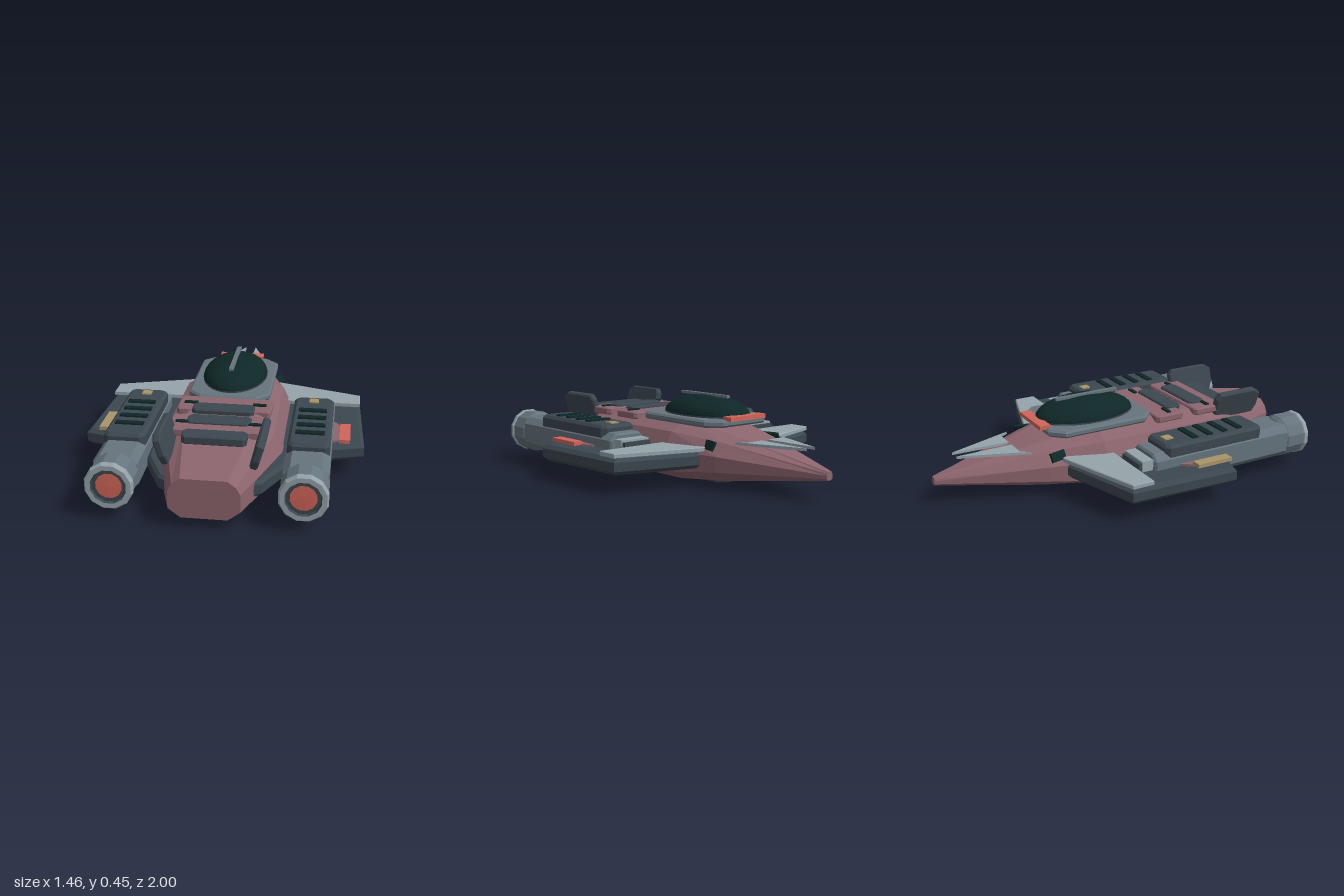
import * as THREE from 'three';

const paint = (name, color, side = THREE.FrontSide) => {
  const m = new THREE.MeshStandardMaterial({ color, flatShading: true, side });
  m.name = name;
  return m;
};

export function createModel() {
  const rose = paint('dusty rose', 0x8c656e);
  const steel = paint('steel grey', 0x66747d);
  const pale = paint('pale grey', 0x95a4ab);
  const slate = paint('dark slate', 0x3c474f);
  const glass = paint('dark green glass', 0x0f2727);
  const red = paint('signal red', 0xd0655a);
  const gold = paint('dull gold', 0xa8946a);

  const ship = new THREE.Group();
  ship.name = 'spacecraft';

  const add = (name, geo, mat, x = 0, y = 0, z = 0, parent = ship) => {
    const mesh = new THREE.Mesh(geo, mat);
    mesh.name = name;
    mesh.position.set(x, y, z);
    parent.add(mesh);
    return mesh;
  };
  const box = (name, mat, w, h, d, x, y, z, parent) =>
    add(name, new THREE.BoxGeometry(w, h, d), mat, x, y, z, parent);

  // Extruded outline with a chamfer of size b
  const extrude = (pts, depth, b) => {
    const shape = new THREE.Shape(pts.map(([x, y]) => new THREE.Vector2(x, y)));
    const geo = new THREE.ExtrudeGeometry(shape, {
      depth: depth - 2 * b, bevelEnabled: b > 0, bevelThickness: b,
      bevelSize: b, bevelOffset: -b, bevelSegments: 1, steps: 1,
    });
    return geo.translate(0, 0, b);
  };
  // Horizontal slab with an outline in x and z
  const slab = (name, mat, pts, y0, y1, b = 0, parent = ship) =>
    add(name, extrude(pts, y1 - y0, b).rotateX(Math.PI / 2), mat, 0, y1, 0, parent);
  // Rectangle outline with cut corners
  const cut = (x0, x1, z0, z1, c) => [
    [x0 + c, z0], [x1 - c, z0], [x1, z0 + c], [x1, z1 - c],
    [x1 - c, z1], [x0 + c, z1], [x0, z1 - c], [x0, z0 + c],
  ];

  // Hull: ten-sided cross-sections
  // z, top y, top x, shoulder x, shoulder y, side x, side upper y, side lower y, bottom x, bottom y
  const sections = [
    [-1, 0.148, 0.012, 0.018, 0.14, 0.021, 0.13, 0.115, 0.012, 0.105],
    [-0.45, 0.265, 0.10, 0.18, 0.235, 0.23, 0.17, 0.09, 0.13, 0.032],
    [-0.15, 0.325, 0.17, 0.27, 0.27, 0.315, 0.18, 0.065, 0.20, 0.012],
    [0.5, 0.32, 0.18, 0.275, 0.27, 0.32, 0.18, 0.065, 0.20, 0.012],
    [1, 0.255, 0.11, 0.15, 0.225, 0.17, 0.19, 0.10, 0.11, 0.055],
  ];
  const rings = sections.map(([z, ty, tx, sx, sy, w, yu, yl, bx, by]) => {
    const half = [[tx, ty], [sx, sy], [w, yu], [w, yl], [bx, by]];
    const other = half.map(([x, y]) => [-x, y]).reverse();
    return [...half, ...other].map(([x, y]) => [x, y, z]);
  });
  const verts = [];
  const n = rings[0].length;
  for (let s = 0; s < rings.length - 1; s++) {
    for (let i = 0; i < n; i++) {
      const j = (i + 1) % n;
      const a = rings[s][i], b = rings[s][j], c = rings[s + 1][j], d = rings[s + 1][i];
      verts.push(...a, ...b, ...d, ...b, ...c, ...d);
    }
  }
  const front = rings[0], back = rings[rings.length - 1];
  for (let i = 1; i < n - 1; i++) {
    verts.push(...front[0], ...front[i + 1], ...front[i]);
    verts.push(...back[0], ...back[i], ...back[i + 1]);
  }
  const hullGeo = new THREE.BufferGeometry();
  hullGeo.setAttribute('position', new THREE.Float32BufferAttribute(verts, 3));
  hullGeo.computeVertexNormals();
  // Make sure faces point outwards
  add('hull', hullGeo, rose).material.side = THREE.DoubleSide;
  slab('bellyPlate', slate, cut(-0.105, 0.105, -0.36, 0.56, 0.04), 0, 0.02, 0.006);

  // Cockpit
  slab('canopyBase', steel, cut(-0.22, 0.22, -0.42, 0.2, 0.07), 0.305, 0.343, 0.01);
  const ring = add('canopySeal', new THREE.CylinderGeometry(1, 1, 0.012, 32), slate, 0, 0.345, -0.13);
  ring.scale.set(0.178, 1, 0.283);
  const dome = new THREE.SphereGeometry(1, 32, 10, 0, Math.PI * 2, 0, Math.PI / 2);
  add('canopy', dome, glass, 0, 0.343, -0.13).scale.set(0.178, 0.1, 0.283);
  box('canopyRidge', steel, 0.024, 0.014, 0.37, 0, 0.444, -0.115);
  box('browBar', red, 0.25, 0.022, 0.06, 0, 0.349, -0.422);

  // Rear deck plates
  for (const [z0, z1] of [[0.19, 0.365], [0.435, 0.625]]) {
    slab('deckPlate', rose, cut(-0.245, 0.245, z0, z1, 0.015), 0.295, 0.333, 0.006);
  }
  for (const [z0, z1, top] of [[0.3, 0.4, 0.345], [0.455, 0.555, 0.345], [0.615, 0.71, 0.335]]) {
    slab('deckHatch', slate, cut(-0.16, 0.16, z0, z1, 0.018), 0.29, top, 0.006);
  }

  for (const s of [1, -1]) {
    const side = s > 0 ? 'left' : 'right';
    const half = new THREE.Group();
    half.name = side + 'Side';
    ship.add(half);
    const m = (pts) => pts.map(([x, z]) => [s * x, z]);

    // Nose vanes and hull slits
    slab('noseVane', pale, m([[0.03, -0.88], [0.16, -0.52], [0.13, -0.57], [0.02, -0.57]]), 0.233, 0.247, 0, half);
    const slit = box('hullSlit', glass, 0.014, 0.05, 0.09, s * 0.225, 0.222, -0.4, half);
    slit.rotation.set(0, -s * 0.25, s * 0.5);
    for (const z of [0.285, 0.535]) box('deckSlot', glass, 0.07, 0.016, 0.022, s * 0.18, 0.333, z, half);

    // Wing, pale leading plate and engine pylon
    slab('wing', slate, m([[0.22, -0.36], [0.26, -0.36], [0.7, -0.23], [0.728, 0.37], [0.56, 0.42], [0.22, 0.43]]), 0.1, 0.186, 0.02, half);
    slab('wingLeadingPlate', pale, m([[0.2, -0.385], [0.26, -0.37], [0.7, -0.23], [0.7, -0.11], [0.2, -0.11]]), 0.186, 0.212, 0.004, half);
    slab('enginePylon', slate, m([[0.2, 0.4], [0.36, 0.4], [0.345, 0.63], [0.25, 0.83], [0.2, 0.86]]), 0.1, 0.18, 0.015, half);
    slab('wingPatch', rose, m([[0.5, 0.12], [0.57, 0.13], [0.605, 0.18], [0.625, 0.33], [0.57, 0.37], [0.5, 0.37]]), 0.183, 0.198, 0, half);
    box('wingMarker', s > 0 ? red : gold, 0.055, 0.02, 0.205, s * 0.627, 0.203, 0.287, half);

    // Tail fin, leaning outwards
    const finPts = [[0.57, 0.24], [0.57, 0.37], [0.59, 0.4], [0.82, 0.4], [0.865, 0.37], [0.865, 0.29], [0.84, 0.24]];
    const finGeo = extrude(finPts.map(([z, y]) => [-z, y - 0.24]), 0.04, 0.008);
    finGeo.translate(0, 0, -0.02).rotateY(Math.PI / 2);
    add('tailFin', finGeo, slate, s * 0.208, 0.245, 0, half).rotation.z = -s * 0.28;

    // Engine pod
    const pod = new THREE.Group();
    pod.name = side + 'Engine';
    pod.position.x = s * 0.455;
    half.add(pod);
    add('engineBody', extrude(cut(-0.11, 0.11, 0.09, 0.268, 0.035), 0.86, 0.01), steel, 0, 0, -0.02, pod);
    slab('engineCover', slate, cut(-0.105, 0.105, 0.05, 0.66, 0.025), 0.225, 0.303, 0.015, pod);
    for (const z of [0.245, 0.338, 0.432, 0.526]) box('coolingSlot', glass, 0.145, 0.012, 0.034, 0, 0.306, z, pod);
    box('serviceHatch', gold, 0.05, 0.012, 0.05, 0, 0.304, 0.115, pod);
    box('intake', pale, 0.175, 0.06, 0.07, 0, 0.212, -0.048, pod);
    box('intakeMouth', slate, 0.165, 0.05, 0.03, 0, 0.206, -0.088, pod);

    // Nozzle: open bell, pale rim, dark liner and glowing disc
    const lathe = (name, mat, pts) => {
      const geo = new THREE.LatheGeometry(pts.map(([r, z]) => new THREE.Vector2(r, z)), 12);
      geo.rotateY(Math.PI / 12).rotateX(Math.PI / 2);
      add(name, geo, mat, 0, 0.176, 0, pod);
    };
    lathe('nozzleBell', steel, [[0, 0.815], [0.1, 0.815], [0.118, 0.84], [0.114, 0.955]]);
    lathe('nozzleRim', pale, [[0.114, 0.945], [0.12, 0.95], [0.12, 0.968], [0.112, 0.978], [0.088, 0.978]]);
    lathe('nozzleLiner', slate, [[0.088, 0.978], [0.084, 0.962], [0.06, 0.962]]);
    lathe('exhaustGlow', red, [[0.065, 0.964], [0, 0.966]]);
  }
  return ship;
}
